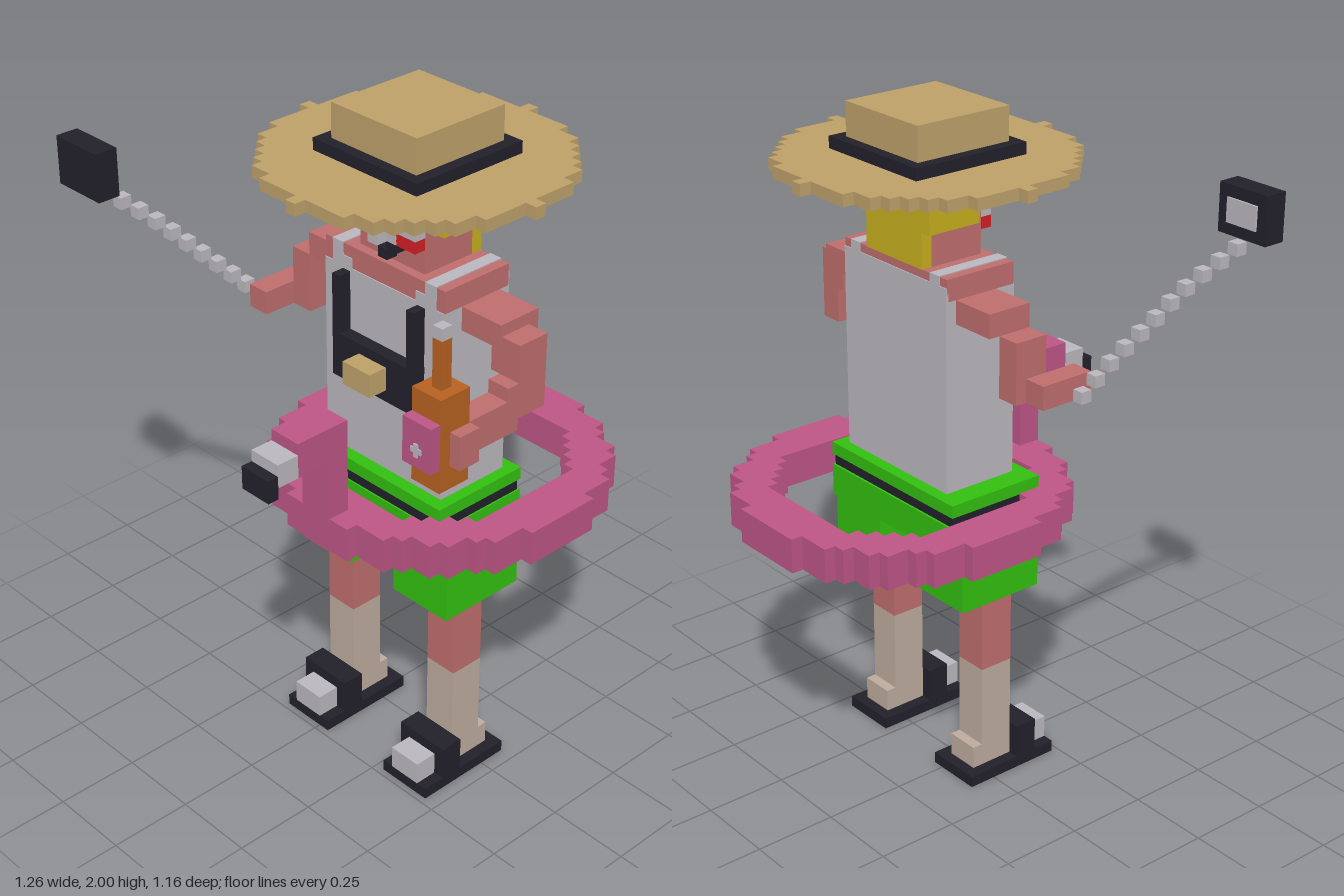
import * as THREE from 'three';

const V = 0.035;   // one block
const CX = 0.157;  // body centre line

export function createModel() {
  const root = new THREE.Group();
  const paint = (name, color) => {
    const m = new THREE.MeshStandardMaterial({ color });
    m.name = name;
    return m;
  };
  const straw = paint('straw', 0xbfa26a), pink = paint('pink', 0xbe5687), green = paint('green', 0x33c010),
    skin = paint('skin', 0xc06e6e), grey = paint('grey', 0xbbb9bf), dark = paint('dark', 0x22212b),
    amber = paint('amber', 0xb86220), pale = paint('pale skin', 0xbeac9e),
    yellow = paint('yellow', 0xc7b01e), red = paint('red', 0xd41f22);

  const part = (name, parent = root) => {
    const g = new THREE.Group();
    g.name = name;
    parent.add(g);
    return g;
  };
  // box given by its bounds
  const box = (parent, name, mat, x0, x1, y0, y1, z0, z1) => {
    const m = new THREE.Mesh(new THREE.BoxGeometry(x1 - x0, y1 - y0, z1 - z0), mat);
    m.position.set((x0 + x1) / 2, (y0 + y1) / 2, (z0 + z1) / 2);
    m.name = name;
    parent.add(m);
  };
  // the same box on both sides of the body
  const pair = (parent, name, mat, x0, x1, ...yz) => {
    box(parent, name, mat, x0, x1, ...yz);
    box(parent, name, mat, 2 * CX - x1, 2 * CX - x0, ...yz);
  };
  // blocky circle outline; half(j) is the half width of row j
  const outline = (rows, half) => {
    const pts = [];
    for (let j = -rows; j <= rows; j++) {
      const x = half(j) + 0.5;
      if (j === -rows || half(j - 1) !== half(j)) pts.push([x, j - 0.5]);
      if (j === rows || half(j + 1) !== half(j)) pts.push([x, j + 0.5]);
    }
    const left = pts.map(([x, y]) => [-x, y]).reverse();
    return [...pts, ...left].map(([x, y]) => new THREE.Vector2(x * V, y * V));
  };
  const disc = (parent, name, mat, outer, hole, y0, y1, z) => {
    const shape = new THREE.Shape(outer);
    if (hole) shape.holes.push(new THREE.Path(hole));
    const geo = new THREE.ExtrudeGeometry(shape, { depth: y1 - y0, bevelEnabled: false });
    geo.rotateX(-Math.PI / 2);
    const m = new THREE.Mesh(geo, mat);
    m.position.set(CX, y0, z);
    m.name = name;
    parent.add(m);
  };
  const round = (r2, j) => Math.floor(Math.sqrt(r2 - j * j));

  // Hat
  const hat = part('hat');
  box(hat, 'crown', straw, 0, 0.315, 1.9, 2, -0.157, 0.157);
  box(hat, 'hatBand', dark, -0.035, 0.35, 1.865, 1.9, -0.19, 0.19);
  disc(hat, 'brim', straw, outline(12, j => (j === 0 ? 12 : Math.abs(j) === 12 ? 0 : round(137.5, j))),
    null, 1.83, 1.865, 0);

  // Head, hair and face
  const head = part('head');
  box(head, 'skull', skin, 0.035, 0.28, 1.585, 1.83, -0.085, 0.088);
  pair(head, 'sideHair', yellow, 0, 0.035, 1.69, 1.83, -0.12, 0.055);
  box(head, 'backHair', yellow, 0.035, 0.28, 1.585, 1.83, -0.12, -0.085);
  box(head, 'fringe', dark, 0, 0.315, 1.795, 1.83, 0.055, 0.124);
  box(head, 'visor', grey, 0.035, 0.28, 1.69, 1.795, 0.088, 0.124);
  pair(head, 'cheekStripe', red, 0.035, 0.105, 1.655, 1.69, 0.088, 0.124);
  box(head, 'upperLip', grey, 0.105, 0.21, 1.655, 1.69, 0.088, 0.124);
  box(head, 'nose', red, 0.14, 0.175, 1.69, 1.725, 0.124, 0.16);
  box(head, 'noseTip', grey, 0.14, 0.175, 1.655, 1.69, 0.124, 0.16);
  pair(head, 'moustache', dark, 0.105, 0.14, 1.63, 1.655, 0.088, 0.124);
  box(head, 'goatee', dark, 0.14, 0.175, 1.6, 1.63, 0.088, 0.124);

  // Torso with tank top straps over the bare shoulders
  const torso = part('torso');
  box(torso, 'shirt', grey, -0.07, 0.385, 0.94, 1.52, -0.12, 0.12);
  box(torso, 'shoulders', skin, -0.07, 0.385, 1.52, 1.585, -0.117, 0.117);
  pair(torso, 'shirtStrap', grey, -0.04, 0, 1.52, 1.588, -0.12, 0.12);
  pair(torso, 'collarEdge', grey, 0, 0.035, 1.52, 1.55, 0.11, 0.12);
  box(torso, 'shirtBack', grey, -0.07, 0.385, 1.52, 1.56, -0.12, -0.112);

  // Chest bag
  const bag = part('chestBag');
  box(bag, 'pouch', dark, 0, 0.315, 1.2, 1.335, 0.12, 0.16);
  pair(bag, 'bagStrap', dark, 0, 0.028, 1.335, 1.51, 0.12, 0.16);
  box(bag, 'bagPocket', straw, 0.105, 0.21, 1.235, 1.305, 0.16, 0.22);

  // Right arm, bent forward to hold the stick
  const rightArm = part('rightArm');
  box(rightArm, 'upperArm', skin, -0.21, -0.07, 1.45, 1.52, -0.085, 0.055);
  box(rightArm, 'elbow', skin, -0.28, -0.21, 1.27, 1.45, -0.05, 0.055);
  box(rightArm, 'hand', skin, -0.35, -0.28, 1.27, 1.34, -0.015, 0.157);

  // Selfie stick made of small cubes, with a phone on its end
  const stick = part('selfieStick');
  const path = new THREE.CatmullRomCurve3([[-0.367, 1.287, 0.11], [-0.39, 1.37, 0.19], [-0.44, 1.48, 0.295],
    [-0.475, 1.56, 0.37], [-0.547, 1.67, 0.49]].map(p => new THREE.Vector3(...p)));
  const h = V / 2;
  for (let i = 0; i <= 10; i++) {
    const p = path.getPointAt(i / 10);
    box(stick, 'stickLink', grey, p.x - h, p.x + h, p.y - h, p.y + h, p.z - h, p.z + h);
  }
  box(stick, 'phone', dark, -0.63, -0.457, 1.69, 1.83, 0.507, 0.575);
  box(stick, 'phoneScreen', grey, -0.597, -0.49, 1.725, 1.795, 0.501, 0.507);

  // Left arm, stepping down and forward to the bottle
  const leftArm = part('leftArm');
  box(leftArm, 'upperArm', skin, 0.385, 0.525, 1.45, 1.52, -0.085, 0.055);
  box(leftArm, 'elbow', skin, 0.49, 0.59, 1.375, 1.485, -0.05, 0.05);
  box(leftArm, 'lowerElbow', skin, 0.52, 0.59, 1.27, 1.375, -0.05, 0.09);
  box(leftArm, 'forearm', skin, 0.52, 0.59, 1.235, 1.335, 0.05, 0.235);
  pair(leftArm, 'fingers', skin, 0.455, 0.49, 1.235, 1.335, 0.23, 0.3);
  leftArm.children.at(-1).position.x = 0.61;

  // Bottle
  const bottle = part('bottle');
  box(bottle, 'bottleBody', amber, 0.49, 0.592, 1.165, 1.44, 0.232, 0.335);
  box(bottle, 'bottleNeck', amber, 0.525, 0.558, 1.44, 1.58, 0.265, 0.3);
  box(bottle, 'bottleCap', grey, 0.525, 0.558, 1.58, 1.615, 0.265, 0.3);
  box(bottle, 'label', pink, 0.49, 0.592, 1.235, 1.37, 0.335, 0.368);
  box(bottle, 'labelBar', grey, 0.522, 0.56, 1.28, 1.295, 0.368, 0.372);
  box(bottle, 'labelPost', grey, 0.534, 0.548, 1.268, 1.307, 0.368, 0.373);

  // Swim ring with a bird's neck and head
  const ring = part('swimRing');
  disc(ring, 'ring', pink, outline(13, j => round(181.5, j)),
    outline(9, j => Math.min(9, round(107, j))), 0.812, 0.915, -0.105);
  box(ring, 'birdNeck', pink, 0.105, 0.21, 0.81, 1.2, 0.3, 0.371);
  box(ring, 'birdHead', pink, 0.105, 0.21, 1.095, 1.2, 0.371, 0.475);
  box(ring, 'beak', grey, 0.105, 0.21, 1.095, 1.165, 0.475, 0.545);
  box(ring, 'beakTip', dark, 0.105, 0.21, 1.06, 1.13, 0.545, 0.58);

  // Shorts
  const shorts = part('shorts');
  box(shorts, 'waistband', green, -0.14, 0.42, 0.912, 0.95, -0.157, 0.16);
  box(shorts, 'belt', dark, -0.135, 0.415, 0.878, 0.912, -0.15, 0.155);
  box(shorts, 'seat', green, -0.14, 0.42, 0.78, 0.878, -0.157, 0.16);
  pair(shorts, 'shortsLeg', green, -0.14, 0.07, 0.6, 0.78, -0.12, 0.16);

  // Legs and sandals
  const legs = part('legs');
  pair(legs, 'leg', skin, -0.105, 0, 0.36, 0.6, -0.018, 0.09);
  pair(legs, 'lowerLeg', pale, -0.105, 0, 0.035, 0.36, -0.018, 0.09);
  pair(legs, 'heel', pale, -0.105, 0, 0.035, 0.105, -0.05, -0.018);
  pair(legs, 'sole', dark, -0.14, 0.035, 0, 0.035, -0.085, 0.23);
  pair(legs, 'sandalStrap', dark, -0.14, 0.035, 0.035, 0.14, 0.09, 0.16);
  pair(legs, 'toes', grey, -0.105, 0, 0.035, 0.105, 0.16, 0.23);

  return root;
}
